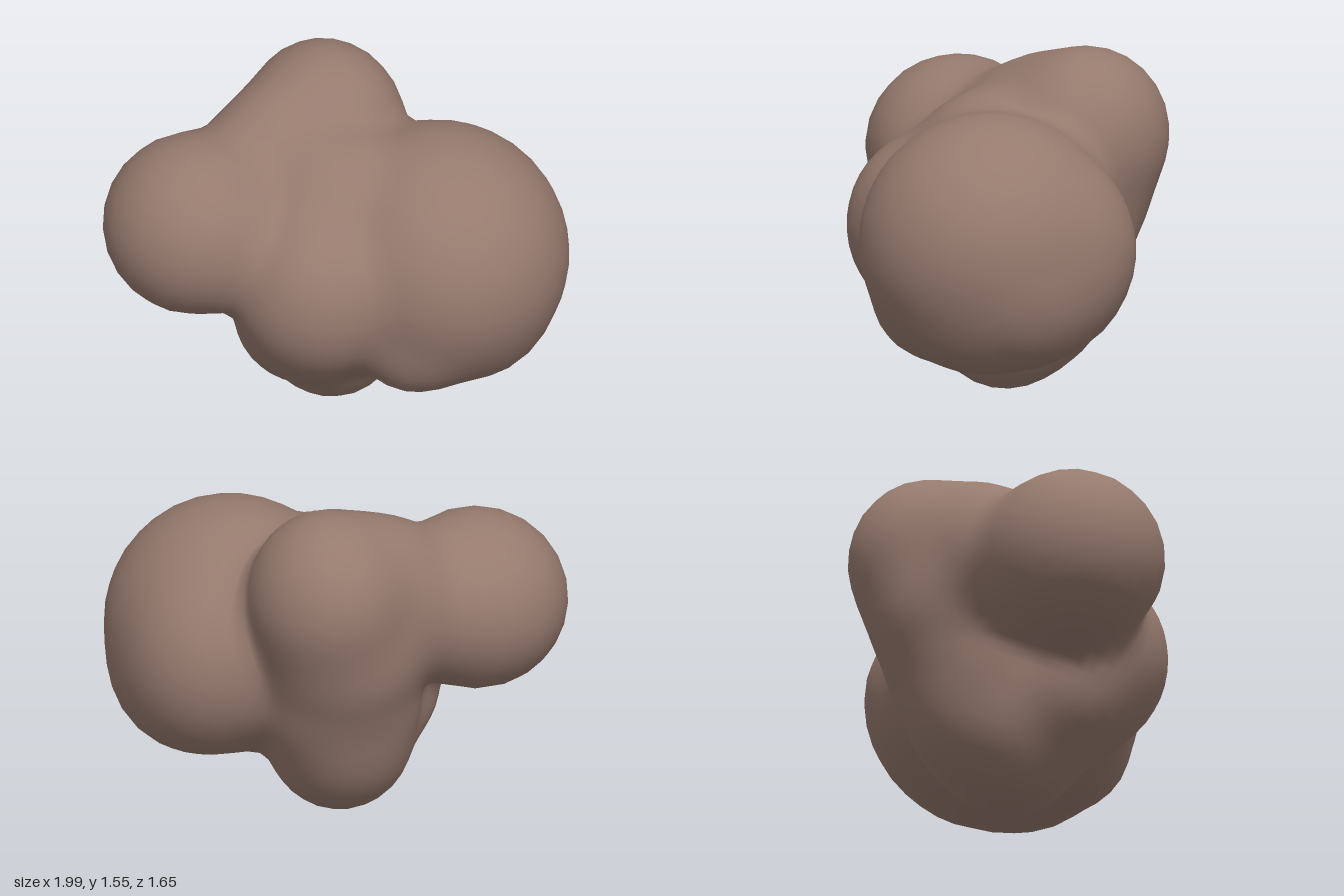
import * as THREE from 'three';
import { mergeVertices } from 'three/addons/utils/BufferGeometryUtils.js';

// Lobes of the boulder: centre x, y, z and radii x, y, z
const LOBES = [
  [0.42, 0.80, 0.22, 0.57, 0.58, 0.60],    // large front lobe
  [0.62, 0.60, 0.17, 0.35, 0.34, 0.40],    // its heavy lower flank
  [0.62, 0.76, -0.02, 0.34, 0.40, 0.35],   // its rear flank
  [0.50, 0.53, 0.36, 0.30, 0.28, 0.30],    // its lower front
  [0.20, 0.50, 0.37, 0.26, 0.26, 0.27],    // its lower inner bulge
  [-0.58, 0.98, -0.25, 0.42, 0.41, 0.42],  // side lobe
  [0.18, 1.16, -0.44, 0.36, 0.40, 0.39],   // raised back lobe
  [-0.05, 1.12, -0.37, 0.35, 0.37, 0.32],  // ridge down to the side lobe
  [-0.20, 1.03, -0.31, 0.36, 0.35, 0.34],  // saddle between side and back lobes
  [-0.16, 0.75, 0.14, 0.40, 0.43, 0.40],   // front shoulder
  [0.02, 0.97, -0.05, 0.40, 0.41, 0.38],   // crown behind the shoulder
  [-0.15, 0.50, 0.00, 0.32, 0.30, 0.34],   // shoulder running into the foot
  [0.03, 0.37, -0.12, 0.33, 0.37, 0.36],   // foot
  [0.06, 0.39, -0.28, 0.29, 0.28, 0.30],   // heel
  [0.08, 0.62, -0.32, 0.36, 0.34, 0.34],   // lower back
  [0.10, 0.88, -0.40, 0.36, 0.36, 0.37],   // upper back
];
const CENTRE = new THREE.Vector3(0, 0.8, -0.1);

// Approximate distance to the lobes, blended softly where they meet
function distanceTo(p, blend = 0.1) {
  let d = 10;
  for (const [x, y, z, rx, ry, rz] of LOBES) {
    const dx = p.x - x, dy = p.y - y, dz = p.z - z;
    const k0 = Math.hypot(dx / rx, dy / ry, dz / rz);
    const k1 = Math.hypot(dx / rx ** 2, dy / ry ** 2, dz / rz ** 2);
    const e = k1 < 1e-6 ? -Math.min(rx, ry, rz) : (k0 * (k0 - 1)) / k1;
    const h = Math.max(blend - Math.abs(d - e), 0) / blend;
    d = Math.min(d, e) - h * h * blend * 0.25;
  }
  return d;
}

// Outermost surface point along a direction from the centre
function surfacePoint(dir) {
  const at = (t) => CENTRE.clone().addScaledVector(dir, t);
  let outer = 1.6;
  while (outer > 0.05 && distanceTo(at(outer)) > 0) outer -= 0.01;
  let lo = outer, hi = outer + 0.01;
  for (let i = 0; i < 12; i++) {
    const mid = (lo + hi) / 2;
    if (distanceTo(at(mid)) > 0) hi = mid; else lo = mid;
  }
  return at(lo);
}

function boulderGeometry() {
  // Shared vertices give smooth normals over the coarse facets
  let geo = new THREE.IcosahedronGeometry(1, 11);
  geo.deleteAttribute('uv');
  geo.deleteAttribute('normal');
  geo = mergeVertices(geo, 1e-4);
  const pos = geo.attributes.position;
  const v = new THREE.Vector3();
  for (let i = 0; i < pos.count; i++) {
    const p = surfacePoint(v.fromBufferAttribute(pos, i).normalize());
    pos.setXYZ(i, p.x, p.y, p.z);
  }
  // Stand it on the ground, centred
  geo.computeBoundingBox();
  const box = geo.boundingBox, c = box.getCenter(new THREE.Vector3());
  geo.translate(-c.x, -box.min.y, -c.z);
  geo.computeVertexNormals();
  return geo;
}

export function createModel() {
  const group = new THREE.Group();
  group.name = 'rock';
  const stone = new THREE.MeshStandardMaterial({ color: 0x967a6e });
  stone.name = 'brown stone';
  const boulder = new THREE.Mesh(boulderGeometry(), stone);
  boulder.name = 'boulder';
  group.add(boulder);
  return group;
}
